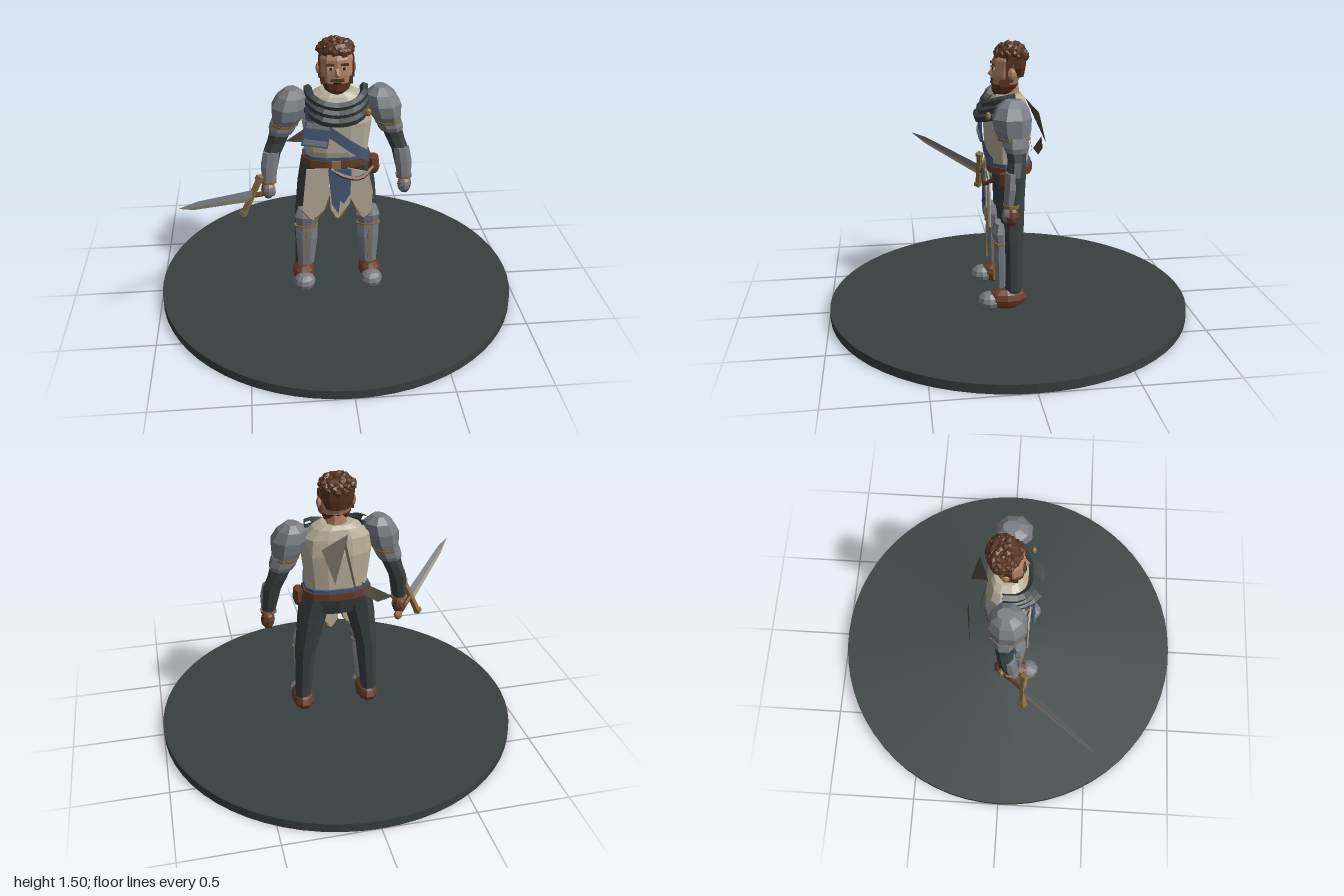
import * as THREE from 'three';
import { ConvexGeometry } from 'three/addons/geometries/ConvexGeometry.js';

const mat = (name, color, side = THREE.FrontSide) => {
  const m = new THREE.MeshStandardMaterial({ color, side });
  m.name = name;
  return m;
};

export function createModel() {
  const model = new THREE.Group();
  const dark = mat('darkCloth', 0x374040), steel = mat('steel', 0x797d83);
  const cream = mat('creamCloth', 0xb9af9a, THREE.DoubleSide), blue = mat('blueCloth', 0x47597a, THREE.DoubleSide);
  const brown = mat('brownLeather', 0x673c27), hair = mat('hair', 0x58331f), skin = mat('skin', 0xb18467);
  const gold = mat('gold', 0x8f7042), olive = mat('tornCloth', 0x524c3d, THREE.DoubleSide), ink = mat('ink', 0x1d1a18);

  // Flat-faced mesh helper
  const add = (name, geo, material, parent = model) => {
    const g = geo.index ? geo.toNonIndexed() : geo;
    g.computeVertexNormals();
    const mesh = new THREE.Mesh(g, material);
    mesh.name = name;
    parent.add(mesh);
    return mesh;
  };
  // Closed loft through rings [y, cx, cz, rx, rz], listed upwards; pow < 1 squares the ring
  const loft = (rings, n = 8, pow = 1) => {
    const pos = [], idx = [];
    const bend = (v) => Math.sign(v) * Math.abs(v) ** pow;
    for (const [y, cx, cz, rx, rz] of rings)
      for (let i = 0; i < n; i++) {
        const a = ((i + 0.5) / n) * Math.PI * 2;
        pos.push(cx + rx * bend(Math.cos(a)), y, cz + rz * bend(Math.sin(a)));
      }
    const last = rings.length - 1, c = rings.length * n;
    for (const j of [0, last]) pos.push(rings[j][1], rings[j][0], rings[j][2]);
    for (let i = 0; i < n; i++) {
      const k = (i + 1) % n;
      for (let j = 0; j < last; j++) {
        const a = j * n, b = a + n;
        idx.push(a + i, b + i, b + k, a + i, b + k, a + k);
      }
      idx.push(c, i, k, c + 1, last * n + k, last * n + i);
    }
    const g = new THREE.BufferGeometry();
    g.setAttribute('position', new THREE.Float32BufferAttribute(pos, 3));
    g.setIndex(idx);
    return g;
  };
  // Thin flat plate from an outline in x and y
  const plate = (pts, z, depth = 0.008) =>
    new THREE.ExtrudeGeometry(new THREE.Shape(pts.map((p) => new THREE.Vector2(...p))), { depth, bevelEnabled: false }).translate(0, 0, z);
  // Open strip between a top and a bottom line
  const strip = (top, bottom) => {
    const pos = [];
    for (let i = 0; i < top.length - 1; i++)
      pos.push(...top[i], ...bottom[i], ...bottom[i + 1], ...top[i], ...bottom[i + 1], ...top[i + 1]);
    const g = new THREE.BufferGeometry();
    g.setAttribute('position', new THREE.Float32BufferAttribute(pos, 3));
    return g;
  };
  const ball = (x, y, z, rx, ry, rz, w = 8, h = 6) => new THREE.SphereGeometry(1, w, h).scale(rx, ry, rz).translate(x, y, z);
  const box = (x, y, z, w, h, d) => new THREE.BoxGeometry(w, h, d).translate(x, y, z);
  const tube = (pts, r, seg = 10, sides = 5) =>
    new THREE.TubeGeometry(new THREE.CatmullRomCurve3(pts.map((p) => new THREE.Vector3(...p))), seg, r, sides);

  // Round base
  add('base', new THREE.CylinderGeometry(1, 1, 0.05, 64).translate(0, 0.025, 0), dark).geometry.computeBoundingSphere();

  // Torso, hips and belt
  add('tunic', loft([[0.8, 0, 0, 0.165, 0.1], [0.9, 0, 0.01, 0.17, 0.115], [1.06, 0, 0.01, 0.19, 0.122],
    [1.15, 0, 0.005, 0.18, 0.105], [1.2, 0, 0, 0.13, 0.085], [1.22, 0, 0, 0.085, 0.07]], 12, 0.75), cream);
  add('hips', loft([[0.7, 0, 0, 0.12, 0.07], [0.81, 0, 0, 0.17, 0.1]], 10, 0.8), dark);
  add('tunicHem', loft([[0.845, 0, 0, 0.178, 0.116], [0.868, 0, 0, 0.178, 0.118]], 12, 0.75), blue);
  add('belt', loft([[0.81, 0, 0, 0.19, 0.124], [0.85, 0, 0, 0.188, 0.124]], 12, 0.75), brown);
  add('buckle', box(-0.01, 0.83, 0.126, 0.05, 0.045, 0.012), gold);
  add('looseStrap', tube([[-0.04, 0.81, 0.13], [0.03, 0.77, 0.14], [0.12, 0.755, 0.14], [0.19, 0.8, 0.1]], 0.012), brown);
  add('pouch', loft([[0.74, 0.2, 0.03, 0.025, 0.035], [0.77, 0.2, 0.03, 0.036, 0.05], [0.83, 0.2, 0.03, 0.03, 0.045]]), brown);

  // Chest sash and patch
  const chestZ = (x) => 0.024 + 0.12 * Math.max(0, 1 - Math.abs(x / 0.19) ** 2.67) ** 0.375;
  const sashX = [-0.17, -0.12, -0.06, 0, 0.06, 0.12, 0.165];
  const sash = (h) => sashX.map((x) => [x, 0.995 - x * 0.78 + h, chestZ(x)]);
  add('sash', strip(sash(0.035), sash(-0.035)), blue);
  const patch = new THREE.Group();
  patch.name = 'chestPatch';
  patch.position.set(-0.115, 1.02, 0.142);
  patch.rotation.z = -0.18;
  model.add(patch);
  add('patchCloth', box(0, 0, 0, 0.14, 0.14, 0.009), blue, patch);
  for (const y of [-0.045, 0.05]) add('patchBar', box(0, y, 0.007, 0.125, 0.028, 0.006), steel, patch);

  // Layered collar
  for (let i = 0; i < 3; i++) {
    const y = 1.2 - i * 0.037, w = 0.15 + i * 0.008, z = 0.115 + i * 0.018;
    add('collarLayer', tube([[-w, y + 0.02, -0.02], [-w * 0.93, y + 0.005, 0.06], [-w * 0.55, y - 0.022, z], [0, y - 0.035, z + 0.012],
      [w * 0.55, y - 0.022, z], [w * 0.93, y + 0.005, 0.06], [w, y + 0.02, -0.02]], 0.024, 14, 5), dark);
  }
  add('collarStud', ball(0.155, 1.13, 0.125, 0.018, 0.022, 0.015), gold);

  // Split front skirt
  add('skirtRight', plate([[-0.17, 0.81], [-0.05, 0.81], [-0.045, 0.66], [-0.075, 0.56], [-0.14, 0.5], [-0.195, 0.56]], 0.117), cream);
  add('skirtLeft', plate([[0.05, 0.81], [0.165, 0.78], [0.19, 0.66], [0.18, 0.53], [0.14, 0.5], [0.06, 0.64]], 0.117), cream);
  add('skirtCenter', plate([[-0.05, 0.7], [0.07, 0.7], [0.065, 0.6], [0.0, 0.505], [-0.04, 0.56]], 0.122), cream);
  add('skirtBlue', plate([[-0.055, 0.81], [0.07, 0.81], [0.065, 0.66], [0.03, 0.6], [0.01, 0.62], [0, 0.54], [-0.035, 0.6]], 0.132), blue);
  add('skirtTrim', tube([[-0.195, 0.56, 0.121], [-0.14, 0.5, 0.121], [-0.075, 0.56, 0.121], [-0.045, 0.66, 0.121]], 0.005, 9, 4), gold);
  add('skirtTrim', tube([[-0.04, 0.56, 0.126], [0, 0.505, 0.126], [0.065, 0.6, 0.126]], 0.005, 8, 4), gold);
  add('skirtTrim', tube([[0.06, 0.64, 0.121], [0.14, 0.5, 0.121], [0.18, 0.53, 0.121]], 0.005, 8, 4), gold);

  // Torn cloth at the back
  add('tornCloth', strip([[-0.04, 1.18, -0.1], [0.11, 1.13, -0.15]], [[-0.035, 1.16, -0.11], [0.05, 0.95, -0.2]]), olive);
  add('tornCloth', strip([[-0.09, 0.95, -0.2], [-0.27, 0.835, -0.185]], [[-0.1, 0.88, -0.21], [-0.18, 0.82, -0.2]]), olive);
  add('tornRibbon', strip([[-0.03, 1.14, -0.1], [-0.08, 0.87, -0.145]], [[-0.015, 1.14, -0.1], [-0.07, 0.87, -0.145]]), olive);

  // Limbs and armour, mirrored
  for (const s of [-1, 1]) {
    add('leg', loft([[0.14, s * 0.195, 0, 0.043, 0.045], [0.46, s * 0.175, 0, 0.06, 0.06],
      [0.68, s * 0.135, 0, 0.083, 0.072], [0.82, s * 0.105, 0, 0.09, 0.085]]), dark);
    add('boot', ball(s * 0.19, 0.118, 0.035, 0.064, 0.062, 0.112, 10, 6), brown);
    add('toeCap', ball(s * 0.19, 0.106, 0.13, 0.062, 0.05, 0.066, 10, 6), steel);
    add('greave', loft([[0.19, s * 0.178, 0.065, 0.048, 0.03], [0.36, s * 0.172, 0.07, 0.064, 0.035], [0.44, s * 0.172, 0.07, 0.066, 0.032]]), steel);
    add('greaveRidge', box(s * 0.174, 0.32, 0.1, 0.01, 0.2, 0.012), gold);
    add('kneeTrim', loft([[0.435, s * 0.173, 0.072, 0.068, 0.036], [0.447, s * 0.173, 0.072, 0.07, 0.037]]), gold);
    add('kneePlate', loft([[0.445, s * 0.172, 0.07, 0.06, 0.034], [0.5, s * 0.168, 0.075, 0.072, 0.04], [0.55, s * 0.165, 0.07, 0.055, 0.025]]), steel);

    add('arm', loft([[0.7, s * 0.372, 0.03, 0.035, 0.034], [0.86, s * 0.35, 0.01, 0.05, 0.046],
      [0.93, s * 0.32, 0, 0.053, 0.048], [1.03, s * 0.285, 0, 0.062, 0.058], [1.14, s * 0.24, 0, 0.06, 0.06]]), dark);
    add('armBand', loft([[0.975, s * 0.3, 0, 0.062, 0.06], [1.0, s * 0.292, 0, 0.073, 0.07], [1.05, s * 0.275, 0, 0.075, 0.07]]), steel);
    add('vambrace', loft([[0.715, s * 0.37, 0.045, 0.04, 0.03], [0.8, s * 0.365, 0.036, 0.049, 0.034], [0.88, s * 0.352, 0.03, 0.046, 0.03]]), steel);
    add('cuff', loft([[0.7, s * 0.371, 0.035, 0.044, 0.042], [0.718, s * 0.371, 0.035, 0.046, 0.044]]), gold);
    add('glove', ball(s * 0.376, 0.655, 0.035, 0.039, 0.055, 0.04), brown);
    add('glovePlate', ball(s * 0.372, 0.66, 0.052, 0.037, 0.046, 0.032), steel);

    add('pauldron', loft([[1.04, s * 0.275, 0.01, 0.07, 0.085], [1.08, s * 0.262, 0.015, 0.085, 0.1], [1.14, s * 0.25, 0.015, 0.098, 0.105],
      [1.195, s * 0.235, 0.01, 0.08, 0.085], [1.23, s * 0.235, 0.005, 0.035, 0.045]], 8), steel);
    add('pauldronTrim', loft([[1.032, s * 0.276, 0.01, 0.073, 0.088], [1.045, s * 0.273, 0.01, 0.076, 0.091]]), gold);
  }

  // Head and face
  const head = new THREE.Group();
  head.name = 'head';
  model.add(head);
  add('neck', loft([[1.19, 0, -0.01, 0.06, 0.055], [1.28, 0, -0.005, 0.052, 0.05]]), skin, head);
  add('face', loft([[1.225, 0, 0.03, 0.04, 0.04], [1.26, 0, 0.02, 0.072, 0.065], [1.32, 0, 0.008, 0.085, 0.08],
    [1.4, 0, 0, 0.088, 0.084], [1.45, 0, -0.01, 0.07, 0.07]], 10, 0.9), skin, head);
  add('nose', new ConvexGeometry([[-0.01, 1.365, 0.08], [0.01, 1.365, 0.08], [0.017, 1.32, 0.085], [-0.017, 1.32, 0.085], [0, 1.325, 0.11],
    [0, 1.31, 0.09]].map((p) => new THREE.Vector3(...p))), skin, head);
  add('beard', loft([[1.21, 0, 0.035, 0.035, 0.038], [1.235, 0, 0.026, 0.066, 0.062], [1.275, 0, 0.016, 0.082, 0.073]], 10, 0.9), hair, head);
  add('moustache', box(0, 1.296, 0.083, 0.07, 0.014, 0.014), hair, head);
  add('mouth', box(0, 1.28, 0.09, 0.04, 0.008, 0.008), ink, head);
  for (const s of [-1, 1]) {
    add('ear', ball(s * 0.092, 1.335, -0.005, 0.014, 0.032, 0.022, 6, 5), skin, head);
    add('eyeWhite', box(s * 0.036, 1.357, 0.08, 0.03, 0.013, 0.009), cream, head);
    add('pupil', box(s * 0.035, 1.357, 0.083, 0.012, 0.013, 0.009), ink, head);
    add('eyebrow', box(s * 0.038, 1.379, 0.082, 0.042, 0.01, 0.012), hair, head);
    add('sideburn', box(s * 0.085, 1.345, 0.005, 0.016, 0.11, 0.04), hair, head);
    add('jawBeard', box(s * 0.073, 1.285, 0.03, 0.02, 0.04, 0.05), hair, head);
  }

  // Curly hair
  add('hairCap', loft([[1.395, 0, -0.014, 0.093, 0.085], [1.44, 0, -0.014, 0.094, 0.088], [1.475, 0, -0.014, 0.07, 0.066]], 10), hair, head);
  add('hairBack', loft([[1.31, 0, -0.04, 0.065, 0.045], [1.36, 0, -0.04, 0.088, 0.055], [1.42, 0, -0.035, 0.092, 0.065]], 10), hair, head);
  for (let i = 0; i < 64; i++) {
    const v = 1 - (i + 0.5) / 46, a = i * 2.4, r = Math.sqrt(Math.max(0, 1 - v * v));
    const z = Math.sin(a) * r;
    if (v < 0 && z > -0.25) continue;
    const curl = new THREE.IcosahedronGeometry(0.02 + 0.005 * Math.sin(i * 7.3), 0).rotateX(i).rotateY(i * 1.7);
    add('curl', curl.translate(Math.cos(a) * r * 0.086, 1.425 + v * 0.052, -0.016 + z * 0.076), hair, head);
  }

  // Sword in the right hand; local x runs along the guard, y along the blade
  const sword = new THREE.Group();
  sword.name = 'sword';
  const along = new THREE.Vector3(-0.64, 0.29, 0.71).normalize();
  const across = new THREE.Vector3(0.41, 0.91, 0).normalize();
  across.addScaledVector(along, -across.dot(along)).normalize();
  sword.quaternion.setFromRotationMatrix(new THREE.Matrix4().makeBasis(across, along, across.clone().cross(along)));
  sword.position.set(-0.465, 0.66, 0.11);
  model.add(sword);
  for (const [s, m] of [[1, steel], [-1, cream]])
    add('bladeHalf', new ConvexGeometry([[0, 0, 0.011], [0, 0, -0.011], [s * 0.04, 0, 0], [0, 0.43, 0.008], [0, 0.43, -0.008],
      [s * 0.026, 0.43, 0], [0, 0.55, 0]].map((p) => new THREE.Vector3(...p))), m, sword);
  add('guard', box(0, 0, 0, 0.24, 0.026, 0.026), gold, sword);
  for (const s of [-1, 1]) add('guardEnd', box(s * 0.115, 0.004, 0, 0.026, 0.034, 0.032), gold, sword);
  add('grip', new THREE.CylinderGeometry(0.014, 0.014, 0.15, 6).translate(0, -0.08, 0), brown, sword);
  add('pommel', ball(0, -0.168, 0, 0.026, 0.024, 0.026, 6, 5), gold, sword);

  return model;
}
